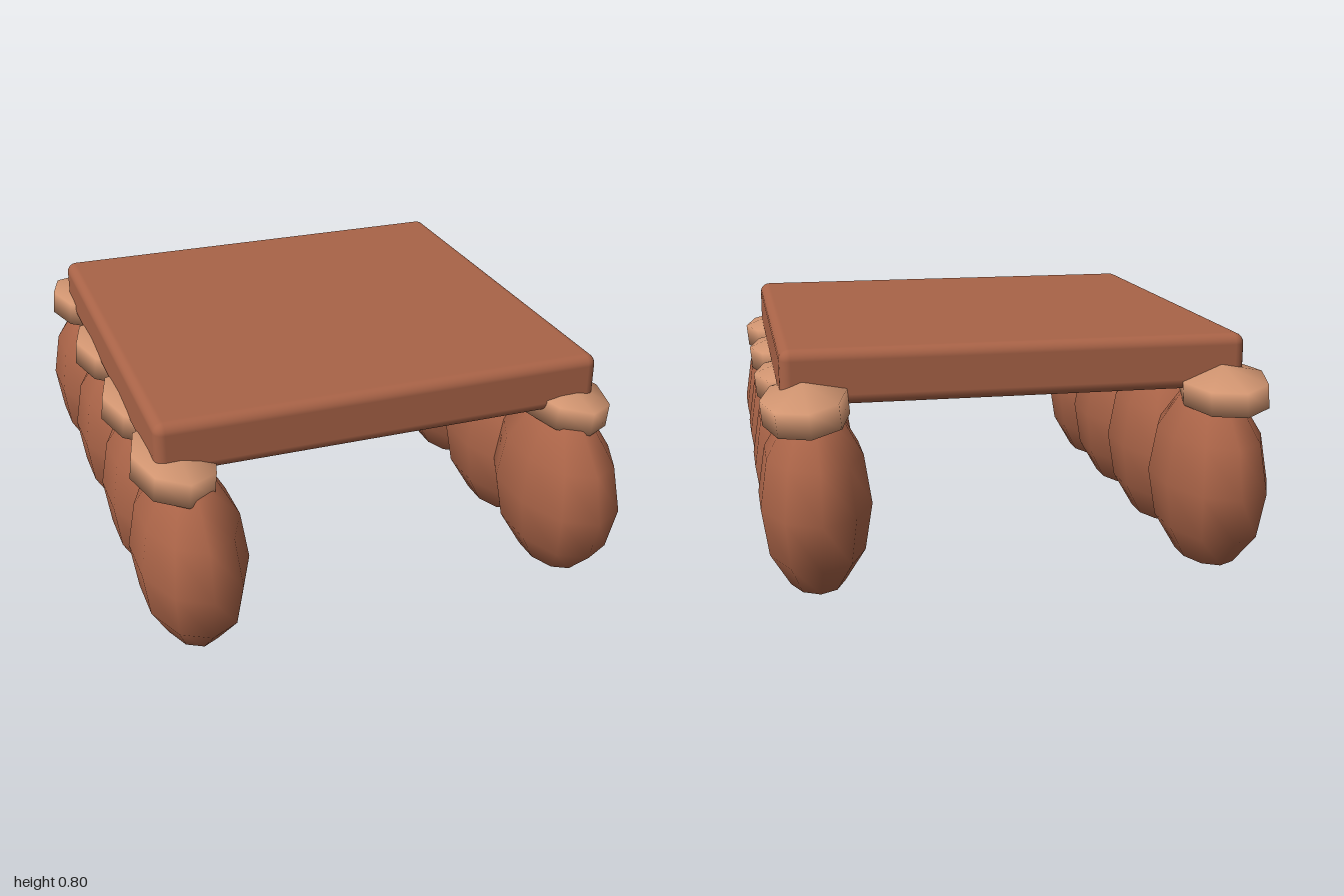
import * as THREE from 'three';
import { RoundedBoxGeometry } from 'three/addons/geometries/RoundedBoxGeometry.js';

export function createModel() {
  const model = new THREE.Group();
  model.name = 'table';

  const clay = new THREE.MeshStandardMaterial({ color: 0xa96347 });
  clay.name = 'reddish brown';
  const tan = new THREE.MeshStandardMaterial({ color: 0xd09470 });
  tan.name = 'light tan';

  // Slab top with softly rounded edges
  const slab = new THREE.Mesh(new RoundedBoxGeometry(1.52, 0.18, 1.47, 3, 0.035), clay);
  slab.name = 'tableTop';
  slab.position.y = 0.713;
  model.add(slab);

  // Coarse smooth spheres, squashed per part
  const legGeometry = new THREE.SphereGeometry(1, 10, 6);
  legGeometry.rotateY(Math.PI / 2);
  legGeometry.scale(0.183, 0.313, 0.313);
  const capGeometry = new THREE.SphereGeometry(1, 8, 3);
  capGeometry.scale(0.158, 0.08, 0.248);

  // Each row entry: leg z, cap z, cap height, cap pitch
  const row = [
    [0.687, 0.64, 0.615, 0],
    [0.265, 0.205, 0.61, 0],
    [-0.21, -0.265, 0.61, 0],
    [-0.687, -0.735, 0.625, -0.05],
  ];

  for (const side of [-1, 1]) {
    const legs = new THREE.Group();
    legs.name = side > 0 ? 'leftLegRow' : 'rightLegRow';
    for (const [legZ, capZ, capY, pitch] of row) {
      const leg = new THREE.Mesh(legGeometry, clay);
      leg.name = 'leg';
      leg.position.set(side * 0.66, 0.317, legZ);

      const cap = new THREE.Mesh(capGeometry, tan);
      cap.name = 'legCap';
      cap.position.set(side * 0.685, capY, capZ);
      cap.rotation.set(pitch, 0, -0.1);
      legs.add(leg, cap);
    }
    model.add(legs);
  }
  return model;
}
